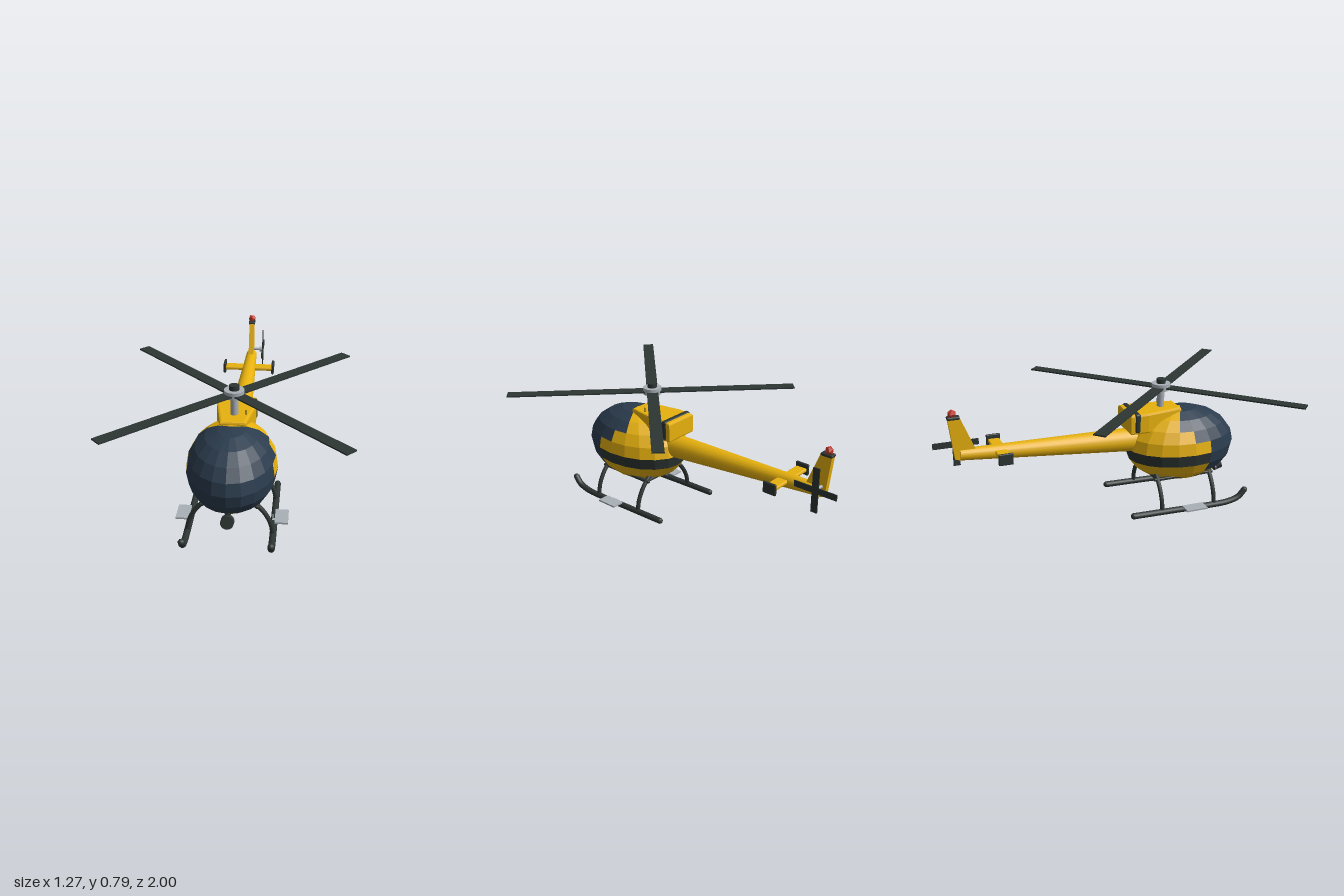
import * as THREE from 'three';
import { RoundedBoxGeometry } from 'three/addons/geometries/RoundedBoxGeometry.js';

const mat = (name, color) => {
  const m = new THREE.MeshStandardMaterial({ color });
  m.name = name;
  return m;
};

export function createModel() {
  const yellow = mat('yellow paint', 0xe8b20e);
  const dark = mat('charcoal', 0x2d3634);
  const glass = mat('navy glass', 0x2b3c4e);
  const metal = mat('light metal', 0xa9b0b7);
  const red = mat('beacon red', 0xc0392b);

  const model = new THREE.Group();
  model.name = 'helicopter';
  const add = (name, geo, material, x = 0, y = 0, z = 0, parent = model) => {
    const mesh = new THREE.Mesh(geo, material);
    mesh.name = name;
    mesh.position.set(x, y, z);
    parent.add(mesh);
    return mesh;
  };
  const box = (w, h, d) => new THREE.BoxGeometry(w, h, d);
  const rounded = (w, h, d, r) => new RoundedBoxGeometry(w, h, d, 2, r);
  const cyl = (r, h, n = 20) => new THREE.CylinderGeometry(r, r, h, n);
  const tube = (points, r, n = 20) => new THREE.TubeGeometry(
    new THREE.CatmullRomCurve3(points.map(p => new THREE.Vector3(...p))), n, r, 10);
  // Ball caps closing the ends of a tube
  const cap = (name, p, r, parent) => add(name, new THREE.SphereGeometry(r, 10, 8), dark, ...p, parent);

  // Cabin: faceted ellipsoid, each facet is glass, stripe or paint
  const cabin = new THREE.SphereGeometry(1, 20, 10).toNonIndexed();
  const pos = cabin.attributes.position;
  const step = Math.PI / 10;
  for (let i = 0; i < pos.count; i += 3) {
    const c = new THREE.Vector3();
    for (let k = 0; k < 3; k++) c.add(new THREE.Vector3().fromBufferAttribute(pos, i + k));
    c.normalize();
    const row = Math.floor(Math.acos(c.y) / step);
    const column = Math.floor(Math.atan2(Math.abs(c.x), c.z) / step);
    const glassColumns = row < 3 ? 6 : row === 3 ? 5 : row < 7 ? 4 : 0;
    cabin.addGroup(i, 3, column < glassColumns ? 1 : row === 5 ? 2 : 0);
  }
  cabin.scale(0.25, 0.232, 0.345);
  cabin.computeVertexNormals();
  add('cabin', cabin, [yellow, glass, dark], 0, 0.374, 0.49);

  // Engine housing, narrowing towards the front
  const plan = new THREE.Shape([[-0.095, 0.142], [0.095, 0.142], [0.098, 0.24], [0.06, 0.455], [-0.06, 0.455], [-0.098, 0.24]]
    .map(p => new THREE.Vector2(...p)));
  const housing = new THREE.ExtrudeGeometry(plan, { depth: 0.1, bevelSize: 0.012, bevelThickness: 0.012, bevelSegments: 2 });
  housing.rotateX(Math.PI / 2);
  add('engineHousing', housing, yellow, 0, 0.608, 0);
  add('housingBand', rounded(0.226, 0.118, 0.036, 0.012), dark, 0, 0.566, 0.173);
  add('antenna', cyl(0.003, 0.05, 8), dark, 0.065, 0.622, 0.365);

  // Tail boom
  const boomStart = new THREE.Vector3(0, 0.428, 0.2), boomEnd = new THREE.Vector3(0, 0.482, -0.86);
  const boomDir = boomEnd.clone().sub(boomStart);
  const boom = add('tailBoom', new THREE.CylinderGeometry(0.034, 0.073, boomDir.length(), 20), yellow);
  boom.position.copy(boomStart).add(boomEnd).multiplyScalar(0.5);
  boom.quaternion.setFromUnitVectors(new THREE.Vector3(0, 1, 0), boomDir.normalize());

  // Fin and beacon
  const side = new THREE.Shape([[-0.77, 0.505], [-0.85, 0.705], [-0.918, 0.705], [-0.89, 0.46], [-0.85, 0.448]]
    .map(p => new THREE.Vector2(...p)));
  const fin = new THREE.ExtrudeGeometry(side, { depth: 0.03, bevelEnabled: false });
  fin.rotateY(-Math.PI / 2);
  add('tailFin', fin, yellow, 0.015, 0, 0);
  add('finCap', rounded(0.042, 0.018, 0.072, 0.007), dark, 0, 0.704, -0.885);
  add('beacon', new THREE.IcosahedronGeometry(0.025, 0), red, 0, 0.728, -0.89);

  // Stabiliser with end plates
  add('stabiliser', rounded(0.31, 0.022, 0.07, 0.008), yellow, 0, 0.48, -0.633);
  for (const s of [-1, 1]) {
    add('stabiliserEndPlate', rounded(0.016, 0.068, 0.084, 0.006), dark, s * 0.157, 0.482, -0.635);
  }

  // Tail rotor on the left of the fin
  const tailRotor = new THREE.Group();
  tailRotor.name = 'tailRotor';
  tailRotor.position.set(0.075, 0.517, -0.868);
  model.add(tailRotor);
  add('tailBladePair', box(0.006, 0.264, 0.04), dark, 0, 0, 0, tailRotor);
  add('tailBladePair', box(0.006, 0.036, 0.264), dark, 0, 0, 0, tailRotor);
  add('tailShaft', cyl(0.009, 0.07, 12), metal, -0.035, 0, 0, tailRotor).rotation.z = Math.PI / 2;
  add('tailHub', cyl(0.018, 0.018, 14), metal, -0.012, 0, 0, tailRotor).rotation.z = Math.PI / 2;

  // Main rotor
  const rotor = new THREE.Group();
  rotor.name = 'mainRotor';
  rotor.position.set(0, 0.742, 0.36);
  model.add(rotor);
  add('mast', cyl(0.022, 0.15), metal, 0, -0.07, 0, rotor);
  add('rotorHub', cyl(0.056, 0.04, 24), metal, 0, 0.003, 0, rotor);
  add('rotorCap', cyl(0.028, 0.028), dark, 0, 0.035, 0, rotor);
  for (let i = 0; i < 4; i++) {
    const blade = new THREE.BoxGeometry(0.83, 0.008, 0.068);
    blade.translate(0.45, 0, 0);
    add('rotorBlade', blade, dark, 0, 0, 0, rotor).rotation.y = Math.PI / 4 + i * Math.PI / 2;
  }

  // Landing gear, mirrored
  for (const s of [-1, 1]) {
    const gear = new THREE.Group();
    gear.name = s > 0 ? 'leftLandingGear' : 'rightLandingGear';
    model.add(gear);
    const x = s * 0.236;
    const skid = [[x, 0.035, 0.1], [x, 0.03, 0.35], [x, 0.024, 0.6], [x, 0.028, 0.73], [x, 0.05, 0.8], [x, 0.092, 0.838]];
    add('skid', tube(skid, 0.019, 40), dark, 0, 0, 0, gear);
    cap('skidTail', [x, 0.035, 0.102], 0.019, gear);
    cap('skidToe', [x, 0.09, 0.837], 0.019, gear);
    for (const z of [0.63, 0.287]) {
      const leg = [[x, 0.03, z], [s * 0.222, 0.1, z], [s * 0.192, 0.16, z], [s * 0.15, 0.21, z], [s * 0.12, 0.235, z]];
      add('skidLeg', tube(leg, 0.013), dark, 0, 0, 0, gear);
    }
    add('sideRail', rounded(0.022, 0.018, 0.39, 0.006), dark, s * 0.15, 0.208, 0.458, gear);
    add('step', box(0.075, 0.01, 0.135), metal, s * 0.277, 0.048, 0.482, gear);
    add('stepBracket', box(0.06, 0.012, 0.06), metal, s * 0.255, 0.038, 0.482, gear);
  }
  for (const z of [0.63, 0.287]) {
    add('crossBar', cyl(0.012, 0.3, 10), dark, 0, 0.208, z).rotation.z = Math.PI / 2;
  }

  // Nose lamp under the cabin
  const lamp = new THREE.Group();
  lamp.name = 'noseLamp';
  lamp.position.set(0, 0.18, 0.757);
  lamp.rotation.x = Math.PI / 2 - 0.27;
  model.add(lamp);
  add('lampBody', cyl(0.036, 0.05), dark, 0, 0, 0, lamp);
  add('lampRing', cyl(0.037, 0.008), metal, 0, -0.018, 0, lamp);
  add('lampMount', box(0.03, 0.06, 0.03), dark, 0, 0.21, 0.725);

  return model;
}
